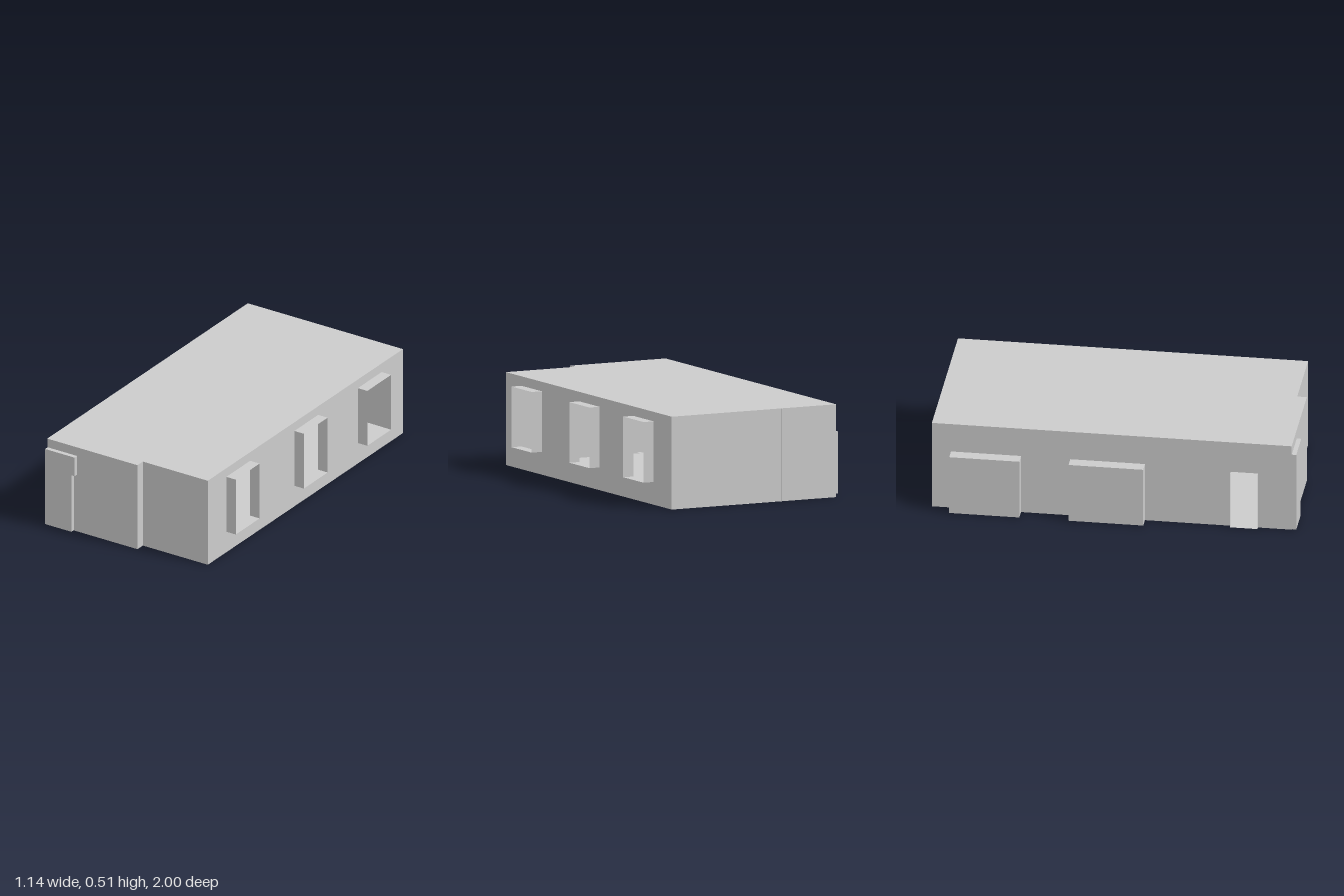
import * as THREE from 'three';

const material = new THREE.MeshStandardMaterial({ color: 0xcccccc, side: THREE.DoubleSide, flatShading: true });
const HEIGHT = 0.51;

function mesh(name, geometry) {
  const m = new THREE.Mesh(geometry, material);
  m.name = name;
  return m;
}

const points = (list) => list.map(([x, y]) => new THREE.Vector2(x, y));
const rect = (x0, y0, x1, y1) => [[x0, y0], [x1, y0], [x1, y1], [x0, y1]];

// Open tube that follows a counterclockwise outline from z = 0 to z = depth
function sleeve(outline, depth) {
  const pos = [];
  outline.forEach(([ax, ay], i) => {
    const [bx, by] = outline[(i + 1) % outline.length];
    pos.push(ax, ay, 0, bx, by, 0, bx, by, depth, ax, ay, 0, bx, by, depth, ax, ay, depth);
  });
  const g = new THREE.BufferGeometry();
  g.setAttribute('position', new THREE.Float32BufferAttribute(pos, 3));
  g.computeVertexNormals();
  return g;
}

// Upright wall from one plan corner to the next, with outward projecting openings
function wall(name, [x0, z0], [x1, z1], openings = []) {
  const group = new THREE.Group();
  group.name = name;
  group.position.set(x0, 0, z0);
  group.rotation.y = Math.atan2(z0 - z1, x1 - x0);
  const shape = new THREE.Shape(points(rect(0, 0, Math.hypot(x1 - x0, z1 - z0), HEIGHT)));
  for (const o of openings) {
    shape.holes.push(new THREE.Path(points(o.outline)));
    group.add(mesh(o.name + 'Sides', sleeve(o.outline, o.depth)));
    if (o.closed) {
      const back = mesh(o.name + 'Panel', new THREE.ShapeGeometry(new THREE.Shape(points(o.outline))));
      back.position.z = o.depth;
      group.add(back);
    }
  }
  group.add(mesh(name + 'Surface', new THREE.ShapeGeometry(shape)));
  return group;
}

// Horizontal slab surface from plan points (x, z)
function slab(name, plan, y, up) {
  const s = up ? -1 : 1;
  const m = mesh(name, new THREE.ShapeGeometry(new THREE.Shape(points(plan.map(([x, z]) => [x, s * z])))));
  m.rotation.x = s * Math.PI / 2;
  m.position.y = y;
  return m;
}

export function createModel() {
  const model = new THREE.Group();
  model.name = 'room';
  const L = -0.503, R = 0.508, BACK = -1, FRONT = 0.975, STEP = 0.922, EPS = 0.002;

  // Roof and floor share the stepped front edge
  const plan = [[L, FRONT], [0.085, FRONT], [0.085, STEP], [R, STEP], [R, BACK], [L, BACK]];
  model.add(slab('roof', plan, HEIGHT, true), slab('floor', plan, 0, false));

  // Front wall with a shallow closed doorway that widens at the top
  const frontDoor = {
    name: 'frontDoorway', depth: 0.025, closed: true,
    outline: [[EPS, EPS], [0.173, EPS], [0.173, 0.345], [0.195, 0.345], [0.195, 0.458], [EPS, 0.458]],
  };
  model.add(wall('frontWall', plan[0], plan[1], [frontDoor]));
  model.add(wall('frontStep', plan[1], plan[2]));
  model.add(wall('frontInsetWall', plan[2], plan[3]));

  // Right wall (+x) with three open window reveals
  const windows = [[0.74, 0.505], [0.07, -0.165], [-0.555, -0.79]].map(([a, b]) => ({
    name: 'window', depth: 0.062, outline: rect(STEP - a, 0.125, STEP - b, 0.458),
  }));
  model.add(wall('windowWall', plan[3], plan[4], windows));

  // Back wall with a slightly recessed middle panel
  const back = [[R, BACK], [0.186, BACK], [0.186, -0.995], [-0.17, -0.995], [-0.17, BACK], [L, BACK]];
  for (let i = 0; i < 5; i++) model.add(wall('backWall', back[i], back[i + 1]));

  // Left wall (-x) with two closed bays and an open doorway
  const bays = [[-0.895, -0.51], [-0.24, 0.17]].map(([a, b]) => ({
    name: 'bay', depth: 0.069, closed: true, outline: rect(a + 1, EPS, b + 1, 0.343),
  }));
  const doorway = { name: 'sideDoorway', depth: 0.023, outline: rect(1.64, EPS, 1.79, 0.33) };
  model.add(wall('bayWall', plan[5], plan[0], [...bays, doorway]));

  return model;
}
